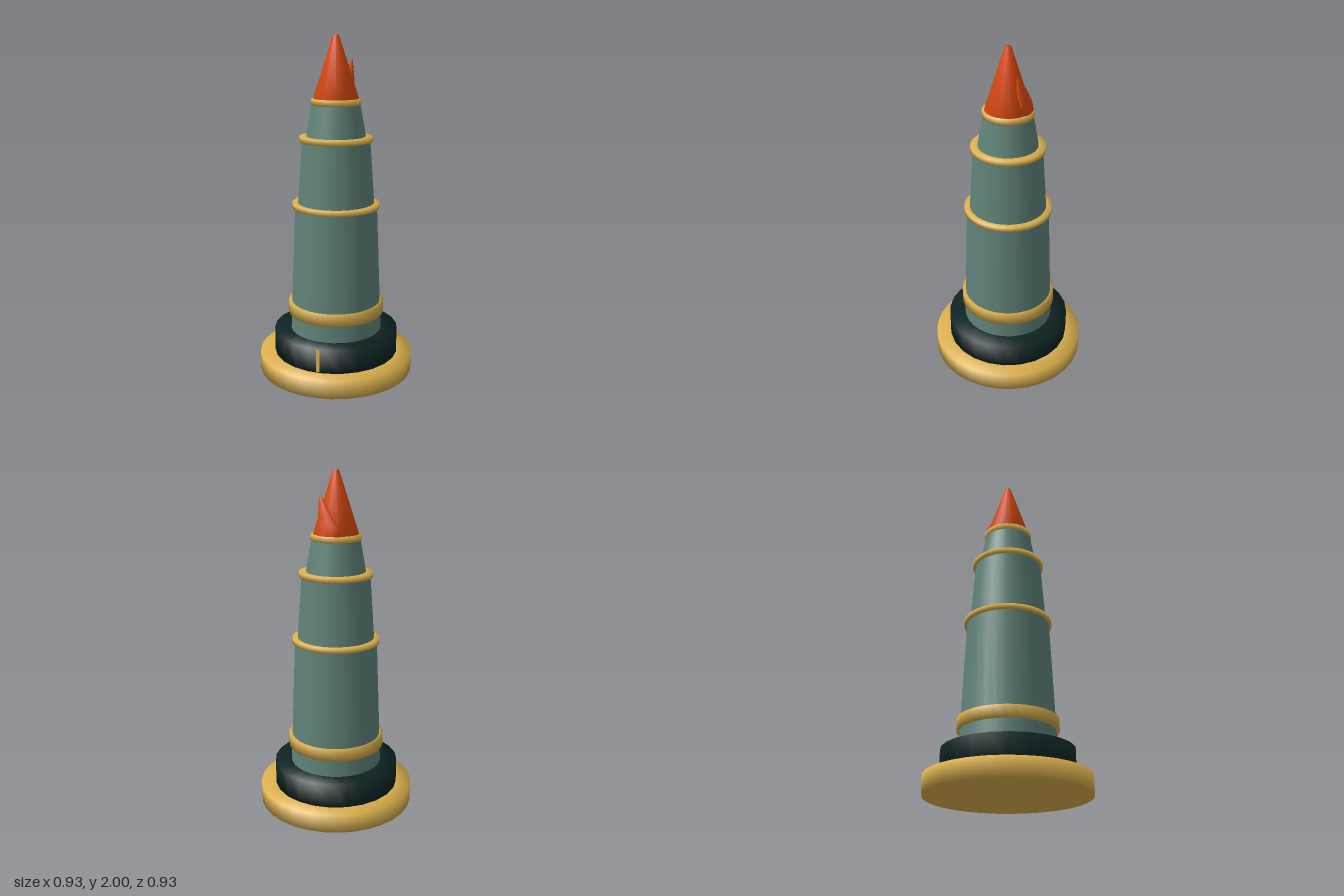
import * as THREE from 'three';

const mat = (name, color) => {
  const m = new THREE.MeshStandardMaterial({ color });
  m.name = name;
  return m;
};

export function createModel() {
  const model = new THREE.Group();
  model.name = 'tieredTorchTower';
  const gold = mat('gold', 0xdbb04e);
  const teal = mat('sage teal', 0x5f8279);
  const dark = mat('dark green', 0x0e2424);
  const orange = mat('flame orange', 0xdd4a10);

  const add = (name, geometry, material) => {
    const mesh = new THREE.Mesh(geometry, material);
    mesh.name = name;
    model.add(mesh);
    return mesh;
  };
  // Profile points run from the bottom up, as [radius, height]
  const turn = (name, points, sides, material) =>
    add(name, new THREE.LatheGeometry(points.map(p => new THREE.Vector2(...p)), sides), material);
  const disc = (name, r, inner, y0, y1, sides, material) =>
    turn(name, [[0, y0], [r, y0], [r, y1], [inner, y1], [0, y1]], sides, material);

  // Stepped foot
  disc('basePlate', 0.465, 0.36, 0, 0.11, 32, gold);
  disc('plinth', 0.375, 0.26, 0.11, 0.255, 24, dark);

  // Three tapering tiers
  [
    ['lowerTier', 0.275, 0.25, 0.243, 1.02],
    ['middleTier', 0.227, 1.02, 0.199, 1.415],
    ['upperTier', 0.176, 1.415, 0.138, 1.63],
  ].forEach(([name, r0, y0, r1, y1]) => turn(name, [[r0, y0], [r1, y1]], 32, teal));

  // Gold bands around and between the tiers
  [
    ['lowerBand', 0.288, 0.26, 0.36, 0.43],
    ['firstBand', 0.259, 0.22, 1.008, 1.037],
    ['secondBand', 0.214, 0.17, 1.4, 1.43],
    ['topBand', 0.145, 0.11, 1.61, 1.645],
  ].forEach(([name, r, inner, y0, y1]) => disc(name, r, inner, y0, y1, 32, gold));

  // Slim gold inlay on the plinth
  const inlay = add('plinthInlay', new THREE.BoxGeometry(0.02, 0.135, 0.006), gold);
  const angle = Math.atan2(-0.215, 0.302);
  inlay.position.set(Math.sin(angle) * 0.372, 0.183, Math.cos(angle) * 0.372);
  inlay.rotation.y = angle;

  // Main flame
  turn('flame', [[0, 1.645], [0.132, 1.645], [0.017, 2], [0, 2]], 20, orange);

  // Side flame: oval sections [x, y, z, half length, half thickness], leaning forward to its tip
  const sections = [
    [0.074, 1.64, -0.088, 0.07, 0.025],
    [0.081, 1.7, -0.066, 0.062, 0.024],
    [0.089, 1.76, -0.042, 0.043, 0.021],
    [0.095, 1.82, -0.022, 0.022, 0.014],
    [0.1, 1.865, -0.006, 0.002, 0.003],
  ];
  const sides = 12, positions = [], index = [];
  sections.forEach(([x, y, z, a, b], i) => {
    const yaw = 0.75 + i * 0.15; // direction of the long axis
    for (let k = 0; k < sides; k++) {
      const t = (k / sides) * Math.PI * 2, u = Math.cos(t) * a, v = Math.sin(t) * b;
      positions.push(
        x + u * Math.cos(yaw) - v * Math.sin(yaw), y,
        z + u * Math.sin(yaw) + v * Math.cos(yaw));
      if (i === 0) continue;
      const n = (k + 1) % sides, p = (i - 1) * sides, q = i * sides;
      index.push(p + k, q + k, p + n, p + n, q + k, q + n);
    }
  });
  for (let k = 1; k < sides - 1; k++) {
    const top = (sections.length - 1) * sides;
    index.push(0, k, k + 1, top, top + k + 1, top + k); // end caps
  }
  const lick = new THREE.BufferGeometry();
  lick.setAttribute('position', new THREE.Float32BufferAttribute(positions, 3));
  lick.setIndex(index);
  lick.computeVertexNormals();
  add('sideFlame', lick, orange);

  return model;
}
